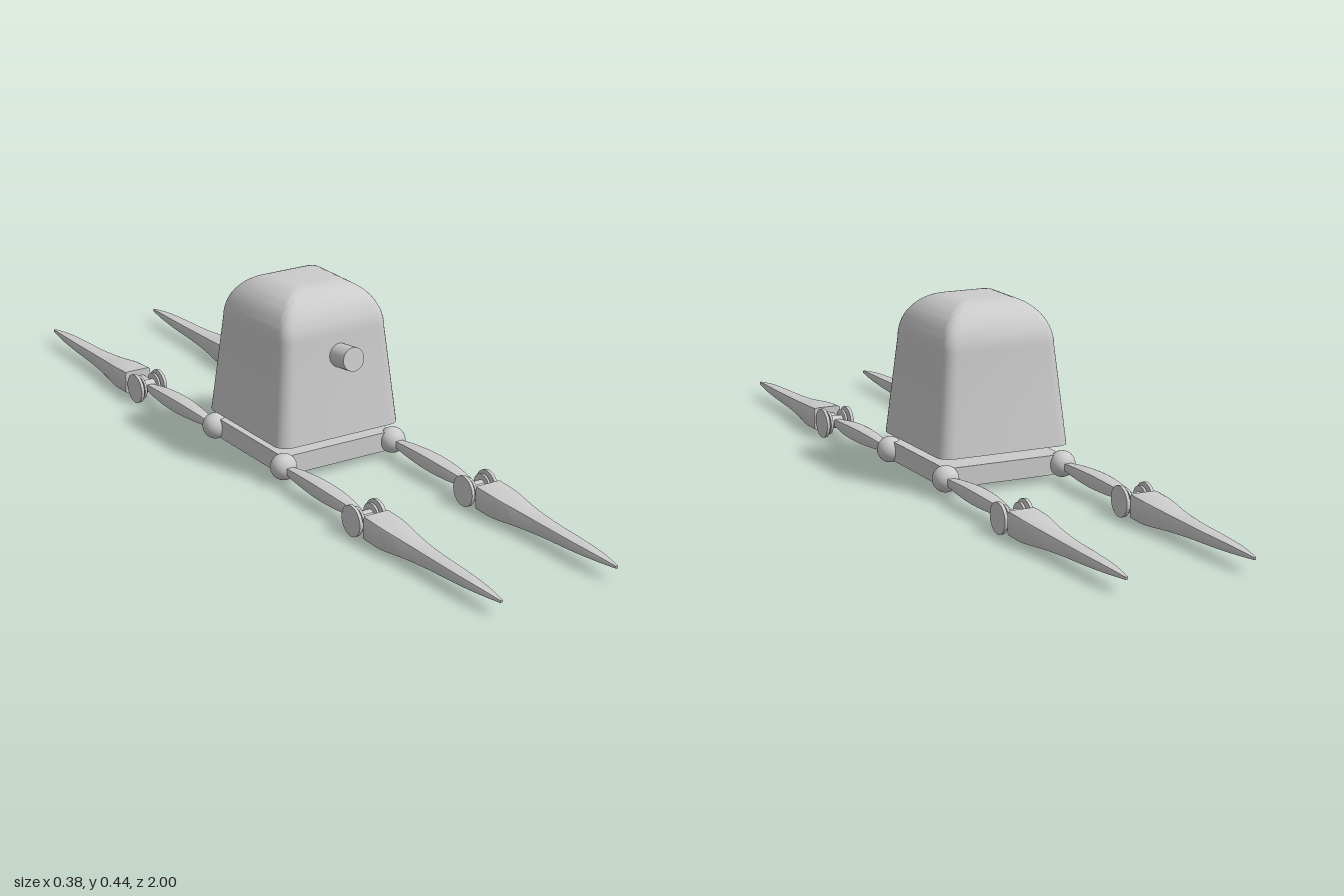
import * as THREE from 'three';
import { toCreasedNormals } from 'three/addons/utils/BufferGeometryUtils.js';

const material = new THREE.MeshStandardMaterial({ color: 0xcccccc, roughness: 0.8 });

function add(parent, name, geometry, x = 0, y = 0, z = 0) {
  const mesh = new THREE.Mesh(geometry, material);
  mesh.name = name;
  mesh.position.set(x, y, z);
  parent.add(mesh);
  return mesh;
}

// Rounded rectangle, counter-clockwise; round is the share of the half size used by the corner
function section(hx, hy, round, steps) {
  const points = [];
  for (let corner = 0; corner < 4; corner++) {
    const sx = corner === 0 || corner === 3 ? 1 : -1;
    const sy = corner < 2 ? 1 : -1;
    for (let k = 0; k <= steps; k++) {
      const a = (corner + k / steps) * Math.PI / 2;
      points.push([
        hx * (sx * (1 - round) + round * Math.cos(a)),
        hy * (sy * (1 - round) + round * Math.sin(a)),
      ]);
    }
  }
  return points;
}

// Closed loft along z through rings of [z, half width, half height, centre y]
function loft(rings, round, steps, crease) {
  const positions = [], index = [];
  const n = 4 * (steps + 1);
  for (const [z, hx, hy, cy = 0] of rings) {
    for (const [x, y] of section(hx, hy, round, steps)) positions.push(x, y + cy, z);
  }
  for (let i = 0; i < rings.length - 1; i++) {
    for (let j = 0; j < n; j++) {
      const a = i * n + j, b = i * n + (j + 1) % n;
      index.push(a, b, b + n, a, b + n, a + n);
    }
  }
  const last = (rings.length - 1) * n;
  for (let j = 1; j < n - 1; j++) {
    index.push(0, j + 1, j, last, last + j, last + j + 1);
  }
  const geometry = new THREE.BufferGeometry();
  geometry.setAttribute('position', new THREE.Float32BufferAttribute(positions, 3));
  geometry.setIndex(index);
  return toCreasedNormals(geometry, crease);
}

// Smooth the ring list with a spline through its rows
function smoothRings(rows, count) {
  const shape = new THREE.CatmullRomCurve3(rows.map(r => new THREE.Vector3(r[1], r[2], r[0])));
  const centre = new THREE.CatmullRomCurve3(rows.map(r => new THREE.Vector3(r[3], 0, r[0])));
  return Array.from({ length: count + 1 }, (_, i) => {
    const p = shape.getPoint(i / count), c = centre.getPoint(i / count);
    return [p.z, p.x, p.y, c.x];
  });
}

// One leg pointing to +z, with its hip at the plate corner
function createLeg() {
  const leg = new THREE.Group();
  add(leg, 'hipBall', new THREE.SphereGeometry(0.032, 32, 20), 0, 0.045, 0.155);

  // Upper leg: slim bar, thickest in the middle
  const upper = smoothRings([
    [0.175, 0.009, 0.008, 0.043], [0.23, 0.015, 0.013, 0.044], [0.32, 0.02, 0.017, 0.044],
    [0.40, 0.018, 0.015, 0.043], [0.475, 0.009, 0.009, 0.041],
  ], 16);
  add(leg, 'upperLeg', loft(upper, 0.25, 2, 0.6), 0, 0, 0);

  // Knee: axle with an outer and an inner pair of discs
  const disc = (name, radius, width, x) => {
    const g = new THREE.CylinderGeometry(radius, radius, width, 32).rotateZ(Math.PI / 2);
    add(leg, name, g, x, 0.04, 0.492);
  };
  disc('kneeAxle', 0.016, 0.07, 0);
  for (const side of [-1, 1]) {
    disc('kneeOuterDisc', 0.037, 0.008, side * 0.033);
    disc('kneeInnerDisc', 0.03, 0.006, side * 0.02);
  }
  add(leg, 'kneeLink', new THREE.BoxGeometry(0.03, 0.025, 0.055), 0, 0.04, 0.522);

  // Lower leg: broad at the knee, drawn out to a point
  const lower = smoothRings([
    [0.54, 0.036, 0.029, 0.04], [0.60, 0.035, 0.028, 0.038], [0.68, 0.025, 0.021, 0.037],
    [0.76, 0.019, 0.016, 0.037], [0.86, 0.016, 0.012, 0.038], [0.94, 0.011, 0.008, 0.039],
    [1.0, 0.003, 0.003, 0.038],
  ], 24);
  add(leg, 'lowerLeg', loft(lower, 0.22, 2, 0.6));
  return leg;
}

export function createModel() {
  const model = new THREE.Group();
  model.name = 'fourLeggedRobot';

  // Body shell: tapered walls running into a rounded crown
  const profile = [[0.093, 0.171, 0.171], [0.21, 0.1593, 0.1593]];
  for (let i = 0; i <= 16; i++) {
    const a = i / 16 * Math.PI / 2;
    const half = 0.045 + 0.102 * Math.cos(a);
    profile.push([0.332 + 0.113 * Math.sin(a), half, half]);
  }
  add(model, 'bodyShell', loft(profile, 0.2, 6, 0.8)).rotation.x = -Math.PI / 2;

  // Front eye, square to the sloping wall
  const eye = new THREE.CylinderGeometry(0.029, 0.029, 0.075, 32).rotateX(Math.PI / 2);
  add(model, 'eye', eye, 0.005, 0.293, 0.172).rotation.x = -0.12;

  add(model, 'basePlate', new THREE.BoxGeometry(0.31, 0.048, 0.31), 0, 0.044, 0);

  // Legs: two forward, two backward
  for (const side of [-1, 1]) {
    for (const front of [true, false]) {
      const leg = createLeg();
      leg.name = (front ? 'front' : 'back') + (side > 0 ? 'Left' : 'Right') + 'Leg';
      leg.position.x = side * 0.155;
      leg.rotation.y = front ? 0 : Math.PI;
      model.add(leg);
    }
  }
  return model;
}
